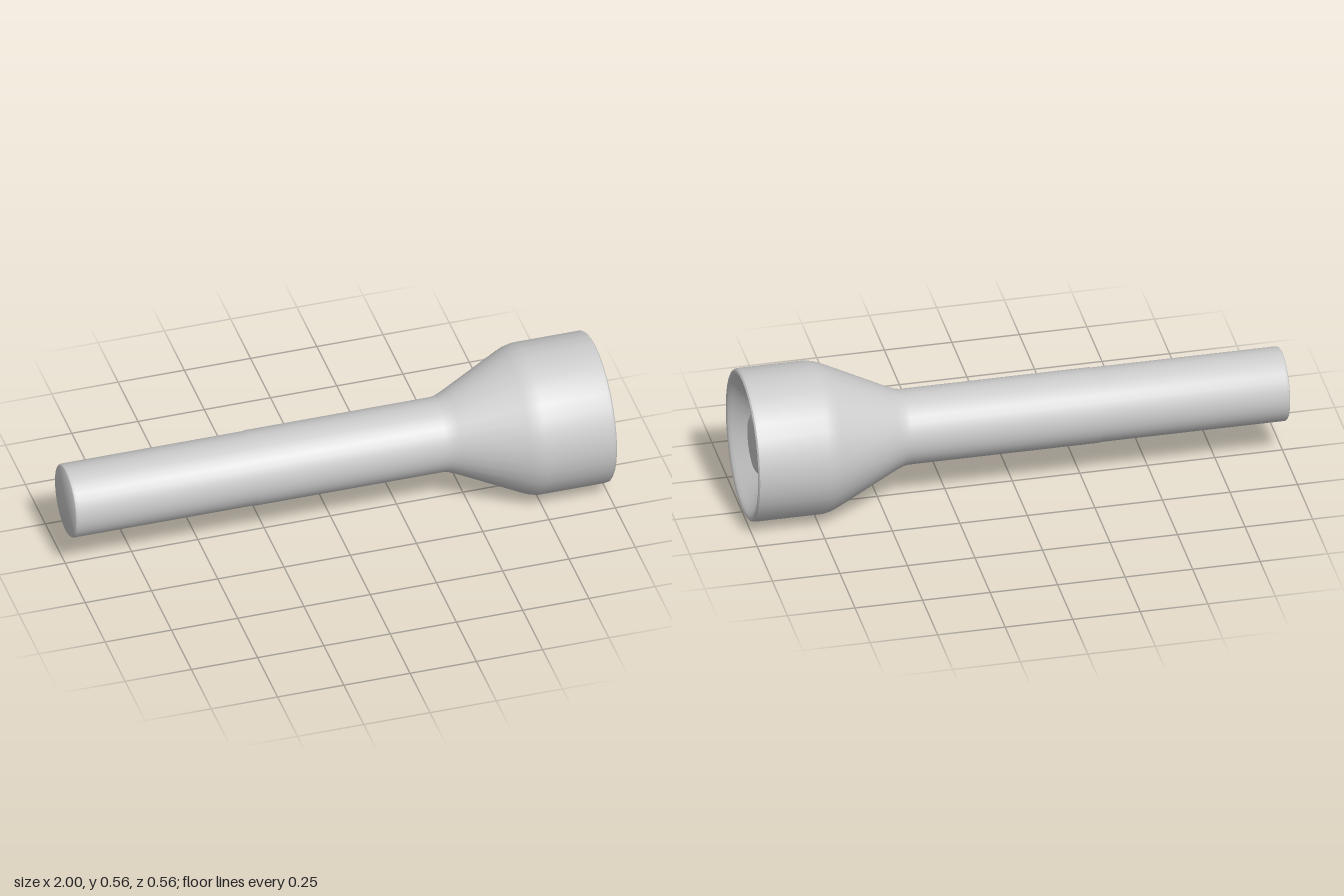
import * as THREE from 'three';
import { toCreasedNormals } from 'three/addons/utils/BufferGeometryUtils.js';

const SIDES = 32;
const AXIS_HEIGHT = 0.28;

// Turns a profile of [position along x, radius] pairs around the torch's axis.
function turned(name, profile) {
  const points = profile.map(([x, r]) => new THREE.Vector2(r, x));
  const geometry = toCreasedNormals(new THREE.LatheGeometry(points, SIDES), 0.65);
  geometry.rotateZ(-Math.PI / 2);
  const mesh = new THREE.Mesh(geometry, new THREE.MeshStandardMaterial({ color: 0xcccccc }));
  mesh.name = name;
  mesh.position.y = AXIS_HEIGHT;
  return mesh;
}

export function createModel() {
  const torch = new THREE.Group();
  torch.name = 'flashlight';

  // Handle with a closed tail, flaring into the head, then folding into the reflector
  torch.add(turned('body', [
    [-1, 0], [-1, 0.13], [-0.997, 0.134], [-0.99, 0.136],
    [-0.31, 0.136], [-0.3, 0.138], [0.4, 0.138],
    [0.42, 0.141], [0.45, 0.153], [0.68, 0.263],
    [0.705, 0.273], [0.735, 0.28], [0.985, 0.28],
    [0.995, 0.278], [1, 0.272], [1, 0.265], [0.995, 0.255], [0.985, 0.245],
    [0.91, 0.156], [0.9, 0.145], [0.9, 0],
  ]));

  // Domed lens with a flat centre
  torch.add(turned('lens', [
    [0.9, 0.156], [0.912, 0.156], [0.942, 0.122], [0.953, 0.108],
    [0.959, 0.098], [0.961, 0.085], [0.961, 0],
  ]));

  return torch;
}
